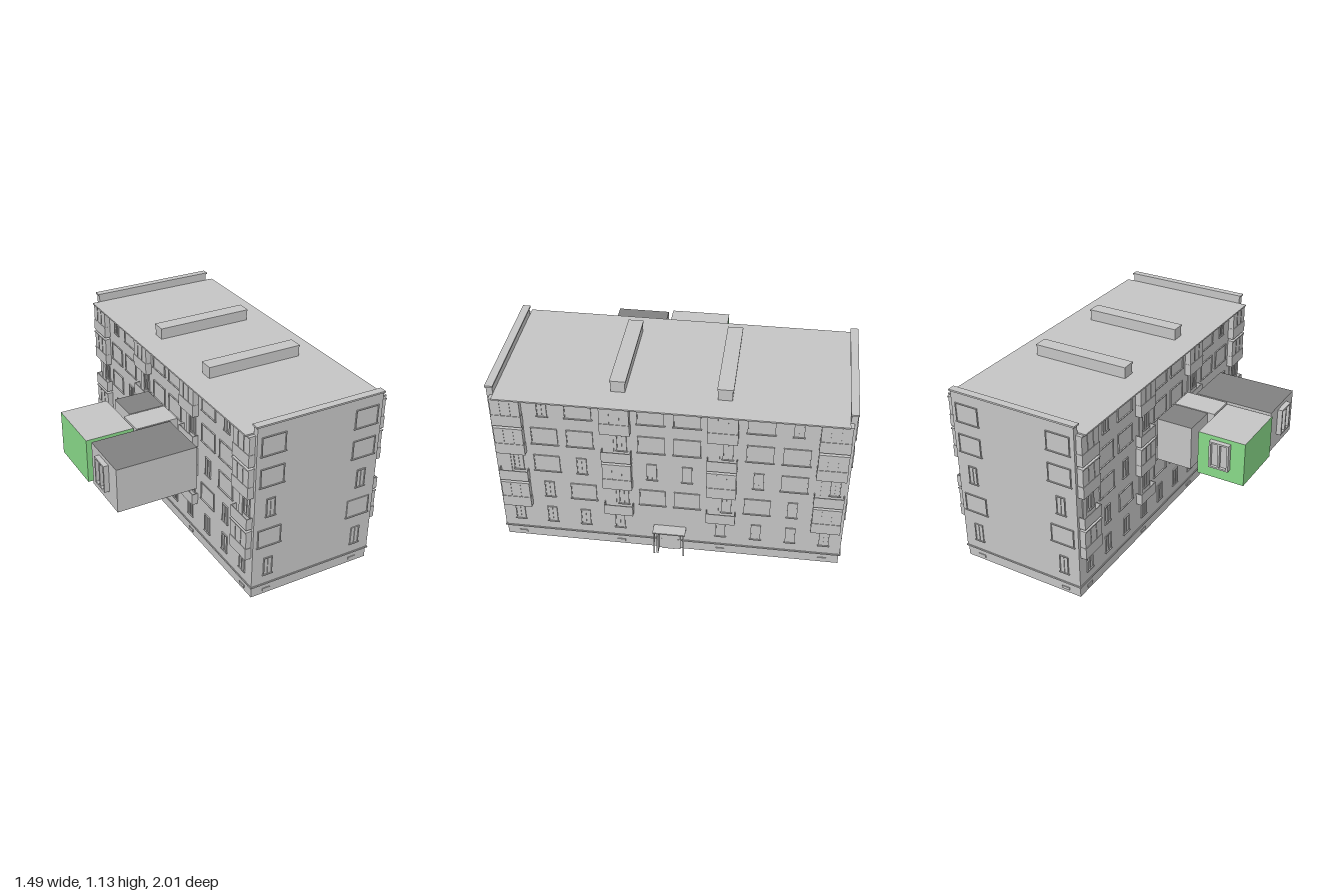
import * as THREE from 'three';

const mat = (name, color) => {
  const m = new THREE.MeshStandardMaterial({ color });
  m.name = name;
  return m;
};

export function createModel() {
  const grey = mat('concrete grey', 0xc4c4c4);
  const dark = mat('dark roofing', 0x808080);
  const green = mat('green cladding', 0x88d888);
  const model = new THREE.Group();
  model.name = 'apartmentBlock';

  // box given by its lower and upper limits on each axis
  const box = (parent, name, [x0, x1], [y0, y1], [z0, z1], material = grey) => {
    const mesh = new THREE.Mesh(new THREE.BoxGeometry(x1 - x0, y1 - y0, z1 - z0), material);
    mesh.position.set((x0 + x1) / 2, (y0 + y1) / 2, (z0 + z1) / 2);
    mesh.name = name;
    parent.add(mesh);
    return mesh;
  };

  const L = -0.13, R = 0.67, MID = 0.27;

  // wall shell, open underneath
  for (const s of [-1, 1]) {
    const z = (a, b) => (s > 0 ? [a, b] : [-b, -a]);
    box(model, 'endWall', [L, R], [0.07, 1.108], z(0.96, 0.995));
    box(model, 'endWallCap', [L - 0.008, R + 0.008], [1.108, 1.118], z(0.955, 1));
    box(model, 'endPlinth', [L + 0.004, R - 0.004], [0, 0.07], z(0.975, 0.99));
    box(model, 'endPlinthLip', [L - 0.005, R + 0.005], [0.068, 0.077], z(0.965, 1));
    box(model, 'roofVentHouse', [-0.035, 0.57], [1.06, 1.125], z(0.253, 0.332));
    box(model, 'roofVentCap', [-0.037, 0.572], [1.125, 1.135], z(0.248, 0.337));
  }
  for (const [wx, s] of [[L, -1], [R, 1]]) {
    const x = (a, b) => (s > 0 ? [wx + a, wx + b] : [wx - b, wx - a]);
    box(model, 'sideWall', x(-0.015, 0), [0.07, 1.06], [-0.97, 0.97]);
    box(model, 'sidePlinth', x(-0.016, -0.004), [0, 0.07], [-0.985, 0.985]);
    box(model, 'sidePlinthLip', x(-0.015, 0.005), [0.068, 0.077], [-0.995, 0.995]);
  }
  box(model, 'roof', [-0.18, 0.72], [1.055, 1.064], [-0.96, 0.96]);

  // window in its own frame: origin at the sill centre, facing +z
  function makeWindow(wide) {
    const g = new THREE.Group();
    g.name = wide ? 'wideWindow' : 'narrowWindow';
    const w = wide ? 0.0725 : 0.026, h = 0.115, t = 0.005;
    box(g, 'pane', [-w, w], [0, h], [0, 0.002]);
    for (const s of [-1, 1]) box(g, 'jamb', [s * w - t / 2, s * w + t / 2], [0, h], [0, 0.007]);
    box(g, 'head', [-w, w], [h - t, h], [0, 0.007]);
    box(g, 'sill', [-w - 0.008, w + 0.008], [-0.004, 0.001], [0, 0.009]);
    if (!wide) box(g, 'mullion', [-0.002, 0.002], [0, h], [0, 0.006]);
    return g;
  }
  const place = (obj, x, y, z, turn) => {
    obj.position.set(x, y, z);
    obj.rotation.y = turn;
    model.add(obj);
  };

  // end-wall windows and cellar vents
  for (const s of [-1, 1]) {
    const turn = s > 0 ? 0 : Math.PI;
    for (const side of [-1, 1]) {
      for (const y of [0.93, 0.735, 0.34])
        place(makeWindow(true), MID + side * 0.298, y, s * 0.995, turn);
      for (const y of [0.537, 0.14])
        place(makeWindow(false), MID + side * 0.298, y, s * 0.995, turn);
      const vx = MID + side * 0.298;
      box(model, 'cellarVent', [vx - 0.025, vx + 0.025], [0.02, 0.036], [s * 0.99 - 0.005, s * 0.99 + 0.005]);
    }
  }

  // long-side windows: three mirrored columns, five storeys
  const sills = [0.14, 0.34, 0.537, 0.735, 0.935];
  const columns = [[0.7, [0, 1, 4]], [0.5, [0, 2]], [0.1, [0, 2]]];
  for (const [wx, s] of [[L, -1], [R, 1]]) {
    for (const m of [-1, 1]) {
      for (const [z, narrow] of columns)
        sills.forEach((y, i) => {
          if (i === 0 && z === 0.1 && s > 0) return;
          place(makeWindow(!narrow.includes(i)), wx, y, m * z, s * Math.PI / 2);
        });
      for (const z of [0.895, 0.295]) {
        place(makeWindow(false), wx, sills[0], m * z, s * Math.PI / 2);
        const vx = wx - s * 0.004;
        box(model, 'cellarVent', [vx - 0.005, vx + 0.005], [0.02, 0.036], [m * z - 0.025, m * z + 0.025]);
      }
    }
  }

  // balconies: glazed in (full height) or open with a parapet
  function makeBalcony(glazed) {
    const g = new THREE.Group();
    g.name = glazed ? 'glazedBalcony' : 'openBalcony';
    const w = 0.084, d = 0.038;
    if (glazed) {
      box(g, 'lowerPanel', [-w, w], [0, 0.074], [0, d]);
      box(g, 'glazing', [-w + 0.002, w - 0.002], [0.074, 0.178], [0, d - 0.003]);
      box(g, 'balconyRoof', [-w, w], [0.178, 0.186], [0, d + 0.002]);
      for (const x of [-0.028, 0.028]) box(g, 'mullion', [x - 0.002, x + 0.002], [0.074, 0.178], [d - 0.004, d]);
    } else {
      box(g, 'slab', [-w, w], [0, 0.008], [0, d]);
      box(g, 'parapet', [-w, w], [0, 0.072], [d - 0.005, d]);
      for (const s of [-1, 1])
        box(g, 'sideParapet', [s * (w - 0.0025) - 0.0025, s * (w - 0.0025) + 0.0025], [0, 0.072], [0, d]);
      const win = makeWindow(false);
      win.position.set(0.03, 0.065, 0);
      g.add(win);
      box(g, 'balconyDoor', [-0.05, -0.015], [0.008, 0.18], [0, 0.005]);
    }
    return g;
  }
  const stacks = [[0.895, [1, 0, 1, 1]], [0.295, [0, 1, 0, 1]]];
  for (const [wx, s] of [[L, -1], [R, 1]])
    for (const m of [-1, 1])
      for (const [z, kinds] of stacks)
        kinds.forEach((k, i) => place(makeBalcony(k === 1), wx, 0.27 + i * 0.2, m * z, s * Math.PI / 2));

  // entrance porch
  const porch = new THREE.Group();
  porch.name = 'entrancePorch';
  model.add(porch);
  box(porch, 'canopy', [R, 0.74], [0.174, 0.182], [-0.095, 0.095]);
  box(porch, 'door', [R, R + 0.008], [0, 0.145], [-0.025, 0.05]);
  box(porch, 'doorSurround', [R, R + 0.004], [0, 0.174], [-0.06, 0.065]);
  box(porch, 'porchWall', [R, 0.722], [0, 0.14], [0.065, 0.075]);
  for (const z of [-0.085, 0.088]) box(porch, 'post', [0.72, 0.728], [0, 0.175], [z - 0.004, z + 0.004]);

  // raised annex rooms beside the block; face order is +x -x +y -y +z -z
  const annex = new THREE.Group();
  annex.name = 'annexRooms';
  model.add(annex);
  const H = [0.495, 0.77];
  const darkTop = [grey, grey, dark, grey, grey, grey];
  const greenSides = [green, green, grey, grey, green, green];
  box(annex, 'innerRoom', [-0.39, -0.165], H, [-0.19, 0.015], darkTop);
  box(annex, 'connectingRoom', [-0.43, -0.165], H, [0.022, 0.19]);
  box(annex, 'greenRoom', [-0.735, -0.44], H, [-0.2, 0.172], greenSides);
  box(annex, 'largeRoom', [-0.715, -0.22], H, [0.2, 0.527], darkTop);

  // projecting bay windows on the annex
  function makeBay() {
    const g = new THREE.Group();
    g.name = 'bayWindow';
    const w = 0.056, h = 0.16, d = 0.03;
    box(g, 'pane', [-w, w], [0, h], [0, 0.012]);
    for (const x of [-w, 0, w]) box(g, 'upright', [x - 0.006, x + 0.006], [0, h], [0, d]);
    for (const y of [0, h]) box(g, 'rail', [-w - 0.006, w + 0.006], [y - 0.005, y + 0.005], [0, d]);
    return g;
  }
  place(makeBay(), -0.585, 0.58, -0.2, Math.PI);
  place(makeBay(), -0.715, 0.58, 0.365, -Math.PI / 2);

  return model;
}
